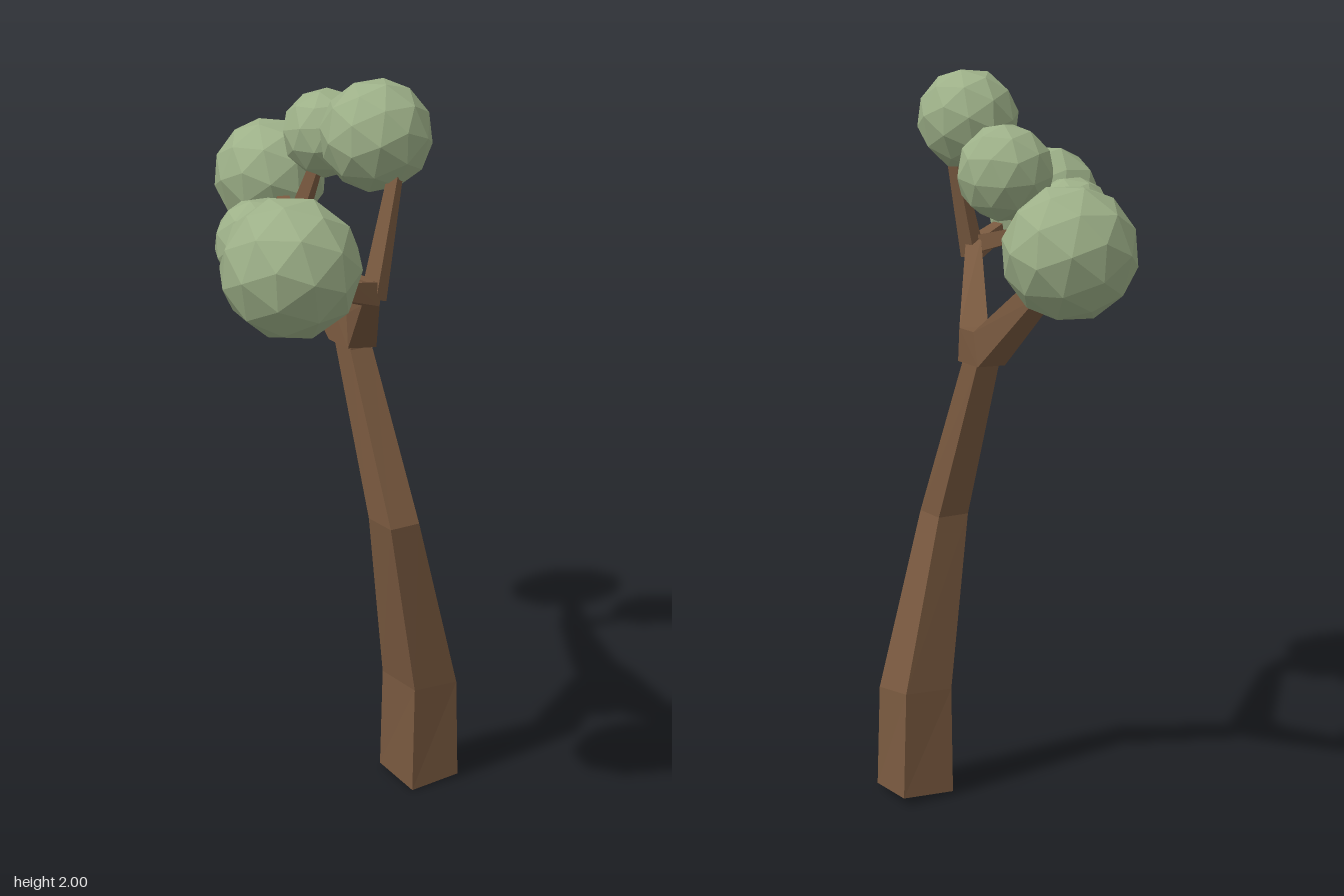
import * as THREE from 'three';

const bark = new THREE.MeshStandardMaterial({ color: 0x7a5a40, flatShading: true });
const leaf = new THREE.MeshStandardMaterial({ color: 0x9db088, flatShading: true });

// Skin a stack of four-cornered rings and cap both ends.
function loft(name, rings) {
  const pos = [], idx = [], n = 4;
  rings.forEach(r => r.forEach(p => pos.push(...p)));
  for (let i = 0; i < rings.length - 1; i++) {
    for (let j = 0; j < n; j++) {
      const a = i * n + j, b = i * n + (j + 1) % n;
      idx.push(a, b, b + n, a, b + n, a + n);
    }
  }
  const e = (rings.length - 1) * n;
  idx.push(0, 2, 1, 0, 3, 2, e, e + 1, e + 2, e, e + 2, e + 3);
  const indexed = new THREE.BufferGeometry();
  indexed.setAttribute('position', new THREE.Float32BufferAttribute(pos, 3));
  indexed.setIndex(idx);
  const geo = indexed.toNonIndexed();
  geo.computeVertexNormals();
  const mesh = new THREE.Mesh(geo, bark);
  mesh.name = name;
  return mesh;
}

// Rectangular limb through nodes [x, y, z, width, height], mitred at the bends.
function limb(name, nodes, up = new THREE.Vector3(0, 1, 0)) {
  const pts = nodes.map(p => new THREE.Vector3(p[0], p[1], p[2]));
  const rings = nodes.map(([, , , w, h], i) => {
    const dir = new THREE.Vector3();
    if (i > 0) dir.add(pts[i].clone().sub(pts[i - 1]).normalize());
    if (i < pts.length - 1) dir.add(pts[i + 1].clone().sub(pts[i]).normalize());
    dir.normalize();
    const side = up.clone().cross(dir).normalize();
    const top = dir.clone().cross(side);
    return [[1, 1], [-1, 1], [-1, -1], [1, -1]].map(([s, t]) =>
      pts[i].clone().addScaledVector(side, s * w / 2).addScaledVector(top, t * h / 2).toArray());
  });
  return loft(name, rings);
}

export function createModel() {
  const tree = new THREE.Group();
  tree.name = 'tree';

  // Leaning, kinked trunk; corners run front, left, back, right
  tree.add(loft('trunk', [
    [[0.39, 0, -0.055], [0.46, 0.01, -0.20], [0.305, 0.02, -0.305], [0.235, 0.01, -0.16]],
    [[0.395, 0.30, -0.05], [0.455, 0.29, -0.19], [0.31, 0.31, -0.28], [0.25, 0.30, -0.14]],
    [[0.355, 0.78, 0.03], [0.395, 0.78, -0.06], [0.295, 0.78, -0.125], [0.255, 0.78, -0.035]],
    [[0.16, 1.225, -0.10], [0.19, 1.225, -0.17], [0.11, 1.23, -0.225], [0.08, 1.23, -0.16]],
    [[0.15, 1.29, -0.11], [0.18, 1.29, -0.17], [0.11, 1.29, -0.215], [0.085, 1.29, -0.16]],
  ]));

  // Two main branches as one limb running across the top of the trunk
  tree.add(limb('mainBranches', [
    [-0.29, 1.54, -0.52, 0.035, 0.04],
    [-0.175, 1.475, -0.36, 0.05, 0.06],
    [0.09, 1.275, -0.195, 0.08, 0.095],
    [0.175, 1.275, -0.135, 0.08, 0.095],
    [0.425, 1.485, 0.295, 0.045, 0.06],
    [0.44, 1.527, 0.475, 0.035, 0.045],
  ]));

  // Side twigs
  const forward = new THREE.Vector3(0, 0, 1);
  tree.add(limb('backTwig', [
    [-0.17, 1.46, -0.36, 0.05, 0.055], [-0.085, 1.69, -0.365, 0.028, 0.028]], forward));
  tree.add(limb('frontTwig', [
    [0.425, 1.47, 0.285, 0.045, 0.06], [0.445, 1.79, 0.205, 0.028, 0.028]], forward));
  tree.add(limb('innerTwig', [
    [0.43, 1.495, 0.305, 0.04, 0.05], [0.19, 1.555, 0.31, 0.028, 0.03]]));

  // Faceted leaf balls: x, y, z, radius
  [
    [-0.375, 1.59, -0.602, 0.168],
    [-0.08, 1.76, -0.40, 0.126],
    [0.37, 1.862, 0.172, 0.144],
    [0.11, 1.585, 0.305, 0.118],
    [0.36, 1.597, 0.592, 0.175],
  ].forEach(([x, y, z, r], i) => {
    const ball = new THREE.Mesh(new THREE.IcosahedronGeometry(r, 1), leaf);
    ball.name = 'leafBall' + (i + 1);
    ball.position.set(x, y, z);
    ball.rotation.set(0.4 + i * 0.7, i * 1.1, 0.3 * i);
    tree.add(ball);
  });
  return tree;
}
